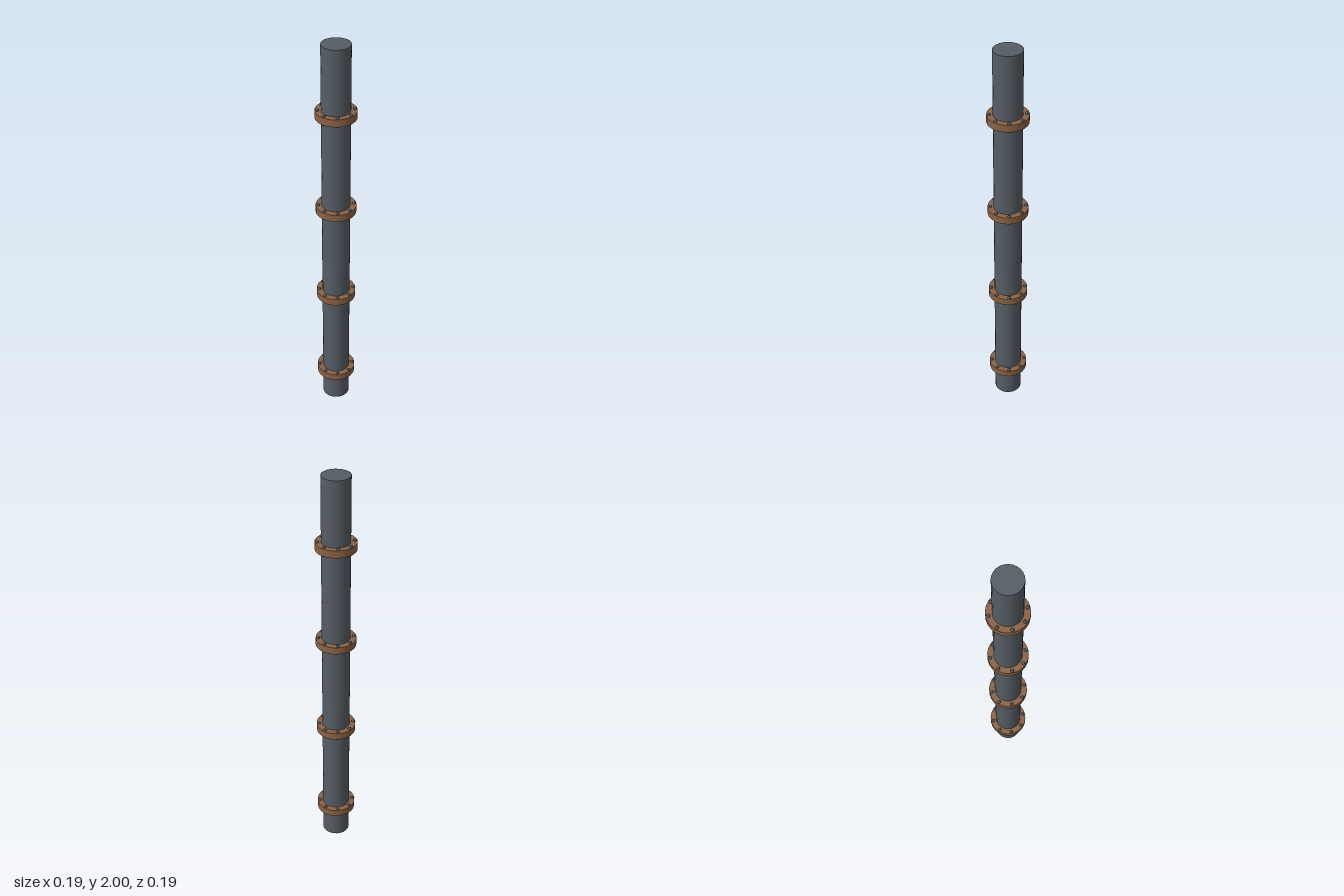
import * as THREE from 'three';

export function createModel() {
  const model = new THREE.Group();
  const material = (name, color) => new THREE.MeshStandardMaterial({ name, color });
  const steel = material('pipeSteel', 0x555d64);
  const copper = material('flangeCopper', 0x8a6245);
  const iron = material('boltIron', 0x464e55);

  function add(parent, name, geometry, mat, x, y, z) {
    const mesh = new THREE.Mesh(geometry, mat);
    mesh.name = name;
    mesh.position.set(x, y, z);
    parent.add(mesh);
  }

  // Straight pipe
  add(model, 'pipe', new THREE.CylinderGeometry(0.068, 0.068, 2, 24), steel, 0, 1, 0);

  // Four bolted flanges, evenly spaced
  const thickness = 0.036;
  const flangeGeometry = new THREE.CylinderGeometry(0.097, 0.097, thickness, 24);
  const boltGeometry = new THREE.SphereGeometry(0.0085, 10, 8);
  for (let i = 0; i < 4; i++) {
    const joint = new THREE.Group();
    joint.name = 'flangeJoint';
    joint.position.y = 1 / 6 + i * 0.5;
    model.add(joint);
    add(joint, 'flange', flangeGeometry, copper, 0, 0, 0);

    // Round bolt heads on both faces
    for (let b = 0; b < 8; b++) {
      const a = (b * Math.PI) / 4;
      for (const side of [-1, 1]) {
        add(joint, 'boltHead', boltGeometry, iron,
          Math.cos(a) * 0.085, side * thickness / 2, Math.sin(a) * 0.085);
      }
    }
  }
  return model;
}
